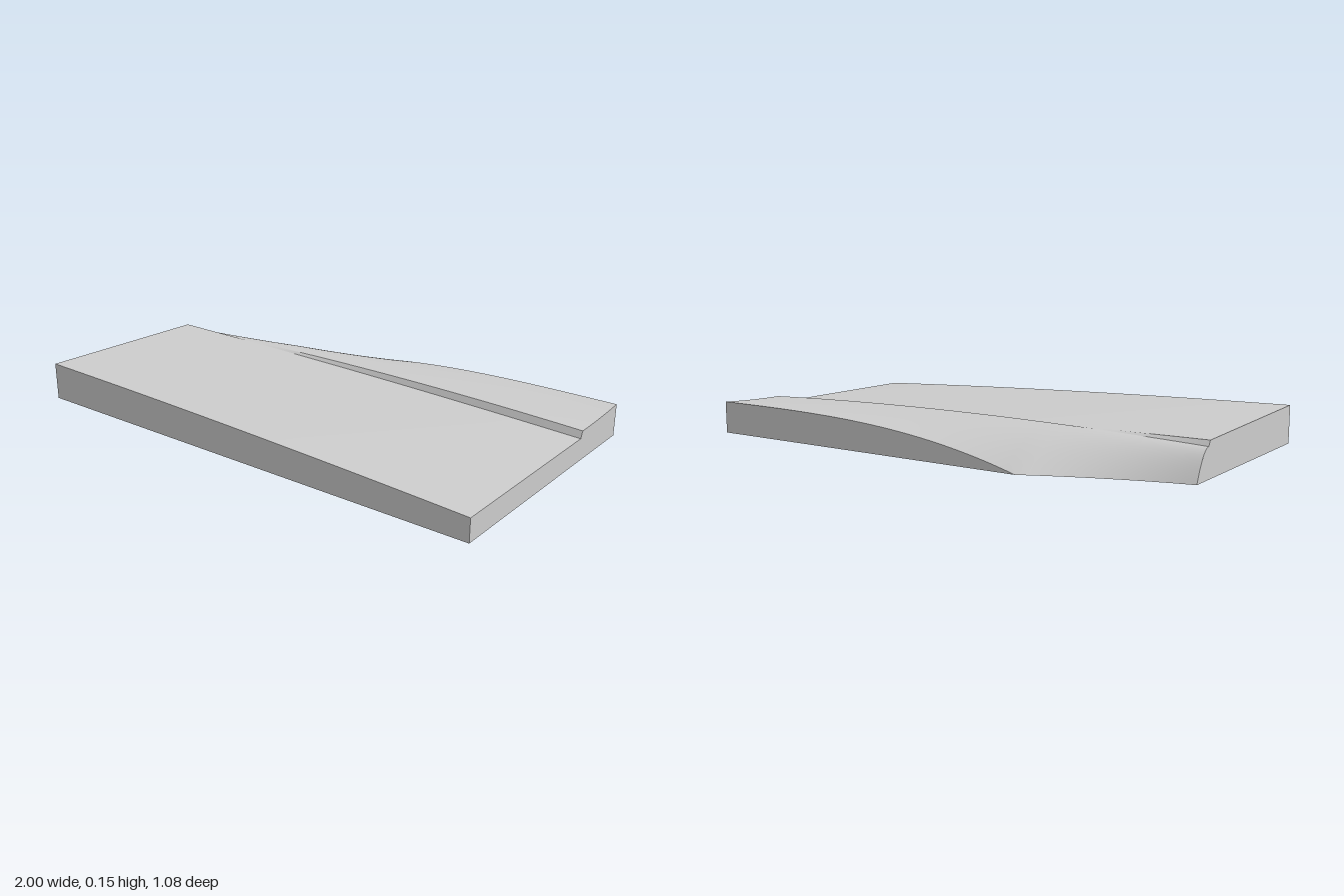
import * as THREE from 'three';

const FRONT = 0.535, BED = -0.236, CREST = -0.248, BACK = -0.54, CUT = -0.43;
const lerp = THREE.MathUtils.lerp;

// Upper surface of the wide front slope
const bedHeight = (x, z) =>
  0.13 - 0.031 * x - 0.009 * x * x - 0.0095 * (1 - x) * (FRONT - z) / (FRONT - BED);
// Crest of the rear bank along the step
const crestHeight = (x) => 0.138 + 0.002 * x - 0.023 * x * x;
// Rear outline: straight, then cut away in a curve down to the ground
const rearZ = (x) => {
  if (x >= CUT) return BACK;
  const t = (x + 1) / (CUT + 1);
  return -0.335 - 0.13 * t - 0.075 * t * t;
};
const rearHeight = (x) =>
  x <= CUT ? 0 : 0.129 * (1 - Math.pow(1 - (x - CUT) / (1 - CUT), 3.2));

// Places a column exactly at the start of the cut corner
const columnX = (u) => (u < 0.3 ? lerp(-1, CUT, u / 0.3) : lerp(CUT, 1, (u - 0.3) / 0.7));

// Cross-section from rear (w = 0) to front (w = 1), returns [y, z]
function section(x, w) {
  if (w <= 0.5) {
    const s = 1 - w / 0.5, low = rearHeight(x);
    return [low + (crestHeight(x) - low) * (1 - s * s), lerp(CREST, rearZ(x), s)];
  }
  if (w < 0.55) {
    const t = (w - 0.5) / 0.05;
    return [lerp(crestHeight(x), bedHeight(x, BED), t), lerp(CREST, BED, t)];
  }
  const z = lerp(BED, FRONT, (w - 0.55) / 0.45);
  return [bedHeight(x, z), z];
}

export function createModel() {
  const group = new THREE.Group();
  const ground = new THREE.MeshStandardMaterial({ color: 0xcccccc });
  ground.name = 'groundGrey';

  // Bends a grid by a rule (u, v) => [x, y, z]
  function sheet(name, nu, nv, rule) {
    const geo = new THREE.PlaneGeometry(1, 1, nu, nv);
    const pos = geo.attributes.position;
    for (let j = 0; j <= nv; j++)
      for (let i = 0; i <= nu; i++)
        pos.setXYZ(j * (nu + 1) + i, ...rule(i / nu, j / nv));
    geo.computeVertexNormals();
    const mesh = new THREE.Mesh(geo, ground);
    mesh.name = name;
    group.add(mesh);
  }

  // Upper surfaces, kept separate so the step stays crisp
  const top = (name, nv, w0, w1) => sheet(name, 50, nv, (u, v) => {
    const x = columnX(u);
    return [x, ...section(x, lerp(w0, w1, v))];
  });
  top('rearBank', 24, 0, 0.5);
  top('step', 1, 0.5, 0.55);
  top('frontSlope', 8, 0.55, 1);

  // Outer walls
  sheet('frontWall', 50, 1, (u, v) => {
    const x = columnX(u);
    return [x, (1 - v) * bedHeight(x, FRONT), FRONT];
  });
  sheet('rearWall', 35, 1, (u, v) => {
    const x = lerp(CUT, 1, u);
    return [x, v * rearHeight(x), BACK];
  });
  for (const side of [-1, 1])
    sheet(side > 0 ? 'leftWall' : 'rightWall', 40, 1, (u, v) => {
      const [y, z] = section(side, side > 0 ? 1 - u : u);
      return [side, (1 - v) * y, z];
    });

  // Flat underside
  sheet('underside', 50, 1, (u, v) => {
    const x = columnX(u);
    return [x, 0, lerp(FRONT, rearZ(x), v)];
  });

  return group;
}
